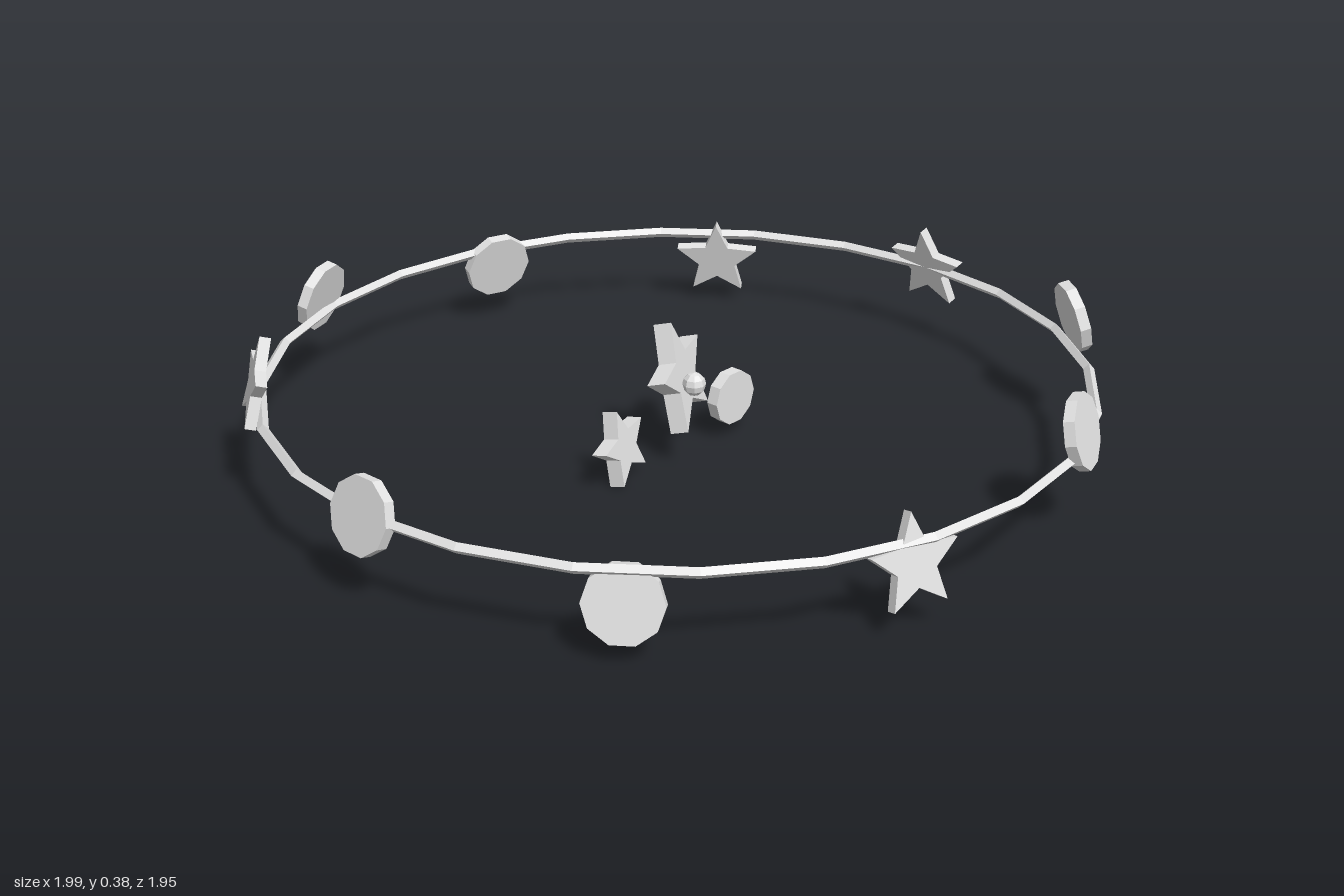
import * as THREE from 'three';

const silver = new THREE.MeshStandardMaterial({ color: 0xe2e2e2, flatShading: true });
silver.name = 'silver';

// Five-pointed star plate, centred on its thickness, point up, facing +z
function starGeometry(radius, inner, depth) {
  const shape = new THREE.Shape();
  for (let i = 0; i < 10; i++) {
    const r = i % 2 ? inner : radius;
    const a = Math.PI / 2 + (i * Math.PI) / 5;
    if (i === 0) shape.moveTo(r * Math.cos(a), r * Math.sin(a));
    else shape.lineTo(r * Math.cos(a), r * Math.sin(a));
  }
  shape.closePath();
  return new THREE.ExtrudeGeometry(shape, { depth, bevelEnabled: false })
    .translate(0, 0, -depth / 2);
}

// Ten-sided disc facing +z, with a flat on top
function discGeometry(radius, depth) {
  return new THREE.CylinderGeometry(radius, radius, depth, 10)
    .rotateY(Math.PI / 10)
    .rotateX(Math.PI / 2);
}

export function createModel() {
  const model = new THREE.Group();
  model.name = 'charmRing';

  function add(name, geometry, position, lean = 0, yaw = 0, roll = 0) {
    const mesh = new THREE.Mesh(geometry, silver);
    mesh.name = name;
    mesh.position.set(...position);
    mesh.rotation.set(lean, yaw, roll, 'YXZ');
    model.add(mesh);
  }

  const height = 0.196;
  const ringRadius = 0.962;

  // Thin hoop with a diamond section
  add('ring', new THREE.TorusGeometry(ringRadius, 0.013, 4, 24).rotateX(Math.PI / 2), [0, height, 0]);

  // Ten charms on the hoop, bobbing up and down and leaning inwards at the top
  const charmStar = starGeometry(0.11, 0.05, 0.026);
  const charmDisc = discGeometry(0.087, 0.026);
  for (let i = 0; i < 10; i++) {
    const a = (i * Math.PI) / 5;
    const isStar = i % 3 === 0;
    add(
      isStar ? 'starCharm' : 'discCharm',
      isStar ? charmStar : charmDisc,
      [ringRadius * Math.cos(a), height + 0.075 * Math.sin(2 * a), ringRadius * Math.sin(a)],
      -0.25,
      Math.PI / 2 - a
    );
  }

  // Centre cluster
  add('centreStar', starGeometry(0.135, 0.06, 0.044), [0, 0.198, 0], -0.25, 0.42, 0.08);
  add('smallStar', starGeometry(0.092, 0.042, 0.038), [-0.195, 0.084, 0], -0.2, 0.25, 0.15);
  add('smallDisc', discGeometry(0.067, 0.03), [0.168, 0.097, 0.018]);
  add('bead', new THREE.SphereGeometry(0.028, 8, 6), [0, 0.193, 0.052]);

  model.position.set(-0.004, 0, 0);
  return model;
}
